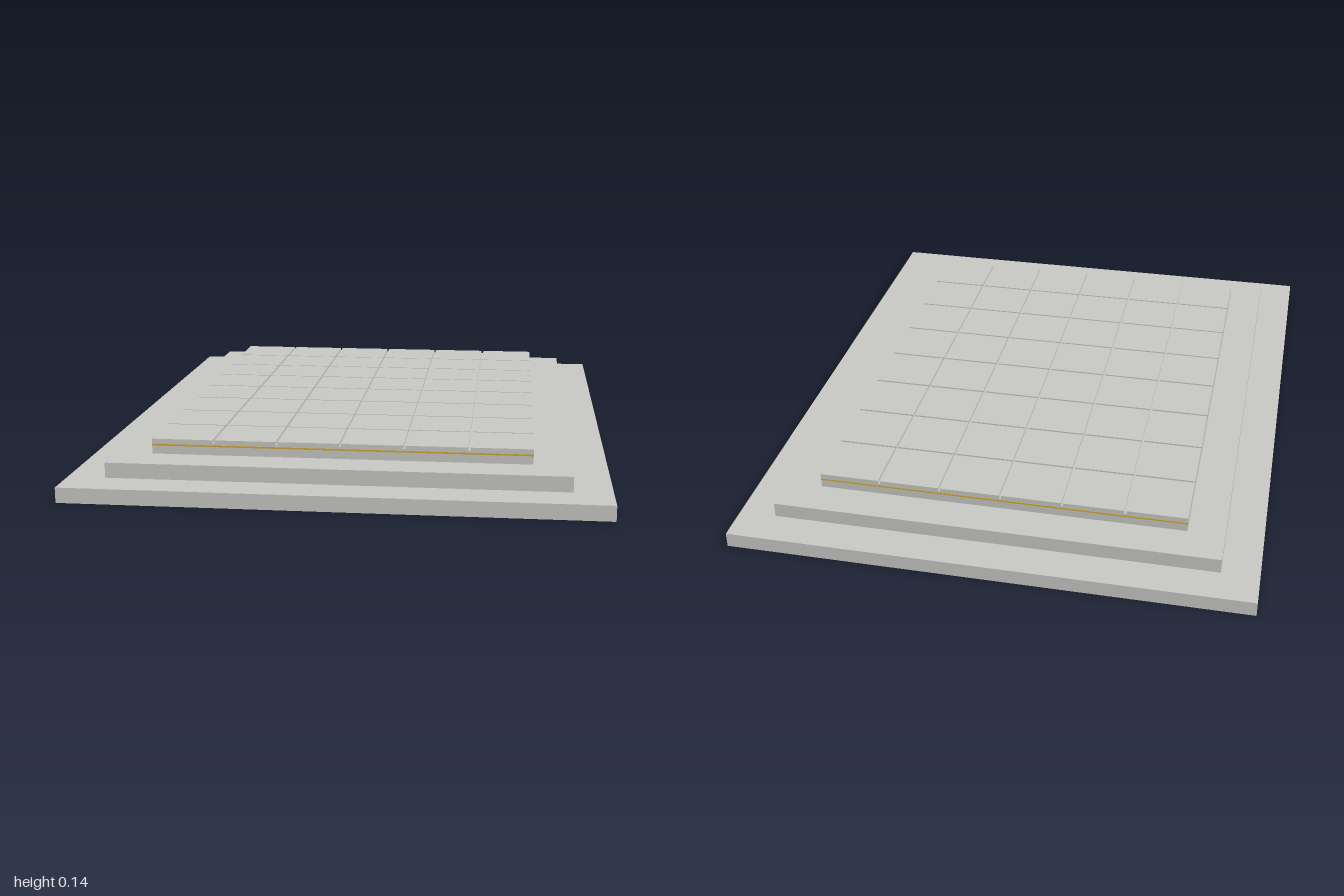
import * as THREE from 'three';

export function createModel() {
  const model = new THREE.Group();
  model.name = 'steppedPlatform';

  const stone = new THREE.MeshStandardMaterial({ color: 0xc8c8c5 });
  stone.name = 'pale stone';
  const gold = new THREE.MeshStandardMaterial({ color: 0xd0a838 });
  gold.name = 'gold';

  // Box placed by its underside
  function block(name, w, h, d, x, y, z, material, parent = model) {
    const mesh = new THREE.Mesh(new THREE.BoxGeometry(w, h, d), material);
    mesh.name = name;
    mesh.position.set(x, y + h / 2, z);
    parent.add(mesh);
  }

  // Three stacked steps, the top one left low for its paving
  const step = 0.0465, paving = 0.01;
  const topW = 1.152, topD = 1.536;
  block('lowerStep', 1.61, step, 2, 0, 0, 0, stone);
  block('middleStep', 1.38, step, 1.77, 0, step, 0, stone);
  block('upperStep', topW, step - paving, topD, 0, 2 * step, 0, stone);

  // Paving slabs separated by narrow joints
  const slabs = new THREE.Group();
  slabs.name = 'pavingSlabs';
  model.add(slabs);
  const columns = 6, rows = 8, joint = 0.007;
  const pitchX = (topW + joint) / columns, pitchZ = (topD + joint) / rows;
  for (let i = 0; i < columns; i++) {
    for (let j = 0; j < rows; j++) {
      block('pavingSlab', pitchX - joint, paving, pitchZ - joint,
        (i - (columns - 1) / 2) * pitchX, 3 * step - paving,
        (j - (rows - 1) / 2) * pitchZ, stone, slabs);
    }
  }

  // Fine inlay lines along the two short sides
  for (const side of [1, -1]) {
    block(side > 0 ? 'frontInlay' : 'backInlay', topW, 0.005, 0.003,
      0, 0.119, side * (topD / 2 + 0.0005), gold);
  }

  return model;
}
